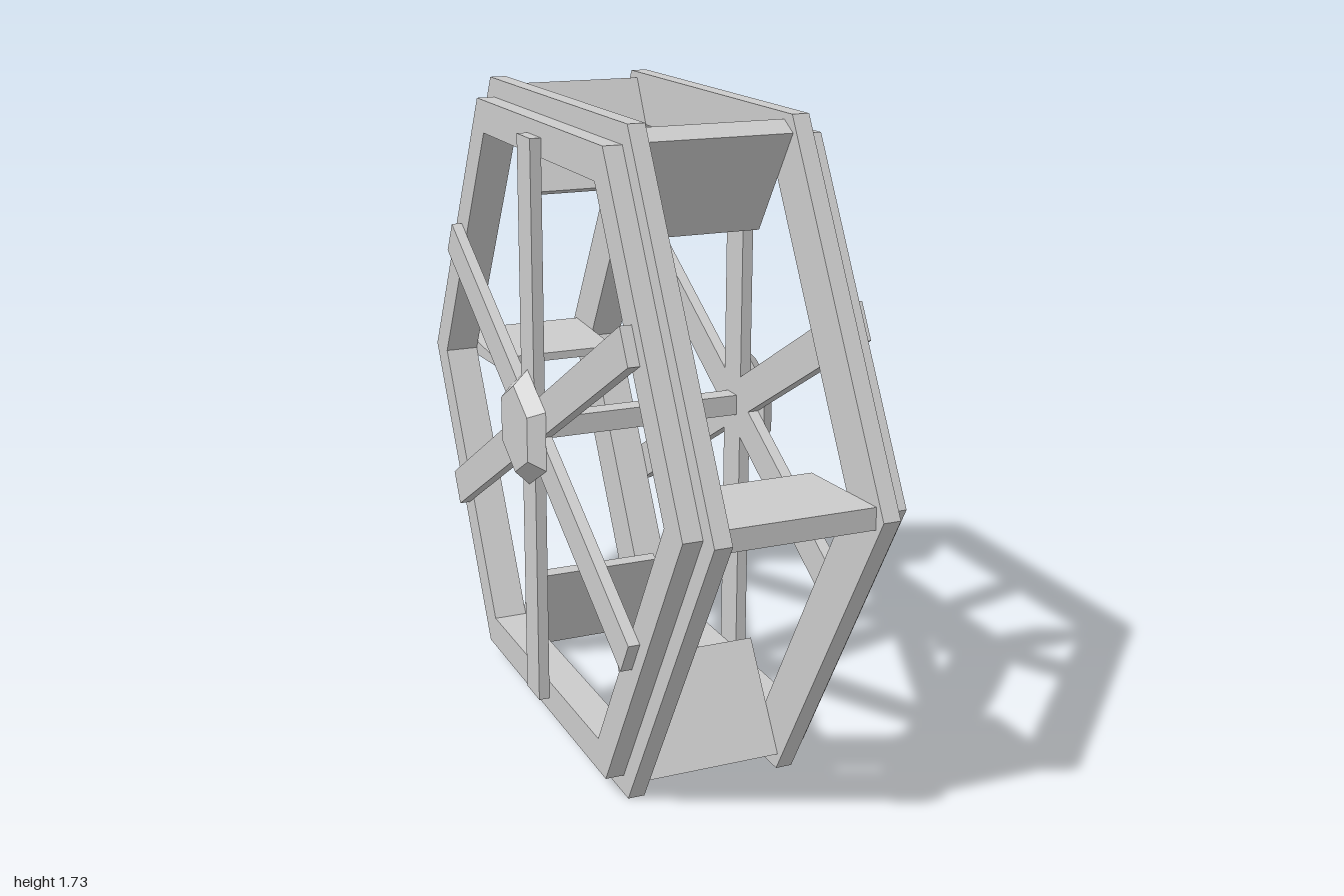
import * as THREE from 'three';

const material = new THREE.MeshStandardMaterial({ color: 0xcccccc, flatShading: true });
const AXLE_Y = Math.sqrt(3) / 2;

function add(parent, name, geometry) {
  const mesh = new THREE.Mesh(geometry, material);
  mesh.name = name;
  parent.add(mesh);
  return mesh;
}

// Corners of a hexagon with points at +x and -x
function hexagon(radius) {
  return Array.from({ length: 6 }, (_, i) =>
    new THREE.Vector2(radius * Math.cos(i * Math.PI / 3), radius * Math.sin(i * Math.PI / 3)));
}

// Hexagonal frame in the yz plane, between x = x0 and x = x1
function hexRing(outer, inner, x0, x1) {
  const shape = new THREE.Shape(hexagon(outer));
  shape.holes.push(new THREE.Path(hexagon(inner)));
  return new THREE.ExtrudeGeometry(shape, { depth: x1 - x0, bevelEnabled: false })
    .rotateY(Math.PI / 2).translate(x0, 0, 0);
}

// One side of the wheel, on the +x side
function wheelSide(name) {
  const side = new THREE.Group();
  side.name = name;
  add(side, 'outerRim', hexRing(1, 0.836, 0.19, 0.235));
  add(side, 'innerRim', hexRing(0.94, 0.836, 0.235, 0.285));

  // Three bars crossing at the hub make six spokes
  for (let i = 0; i < 3; i++) {
    const bar = add(side, 'spokeBar', new THREE.BoxGeometry(0.03, 1.55, 0.1));
    bar.position.x = 0.3;
    bar.rotation.x = i * Math.PI / 3;
  }

  // Bevelled hub cap with its points up and down
  const hub = add(side, 'hubCap',
    new THREE.CylinderGeometry(0.12, 0.16, 0.04, 6, 1, false, Math.PI / 2));
  hub.rotation.z = -Math.PI / 2;
  hub.position.x = 0.335;
  return side;
}

export function createModel() {
  const model = new THREE.Group();
  model.name = 'waterWheel';
  const wheel = new THREE.Group();
  wheel.name = 'wheel';
  wheel.position.y = AXLE_Y;
  model.add(wheel);

  // The two sides, the second turned half round
  wheel.add(wheelSide('leftSide'));
  const right = wheelSide('rightSide');
  right.rotation.y = Math.PI;
  wheel.add(right);

  // Axle between the hubs
  add(wheel, 'axle', new THREE.BoxGeometry(0.63, 0.056, 0.056));

  // Paddles at the six corners, thinner toward the axle
  const profile = new THREE.Shape([
    new THREE.Vector2(0.65, -0.012), new THREE.Vector2(0.965, -0.028),
    new THREE.Vector2(0.965, 0.028), new THREE.Vector2(0.65, 0.012),
  ]);
  const paddle = new THREE.ExtrudeGeometry(profile, { depth: 0.38, bevelEnabled: false })
    .translate(0, 0, -0.19).rotateY(Math.PI / 2);
  for (let i = 0; i < 6; i++) {
    add(wheel, 'paddle', paddle).rotation.x = i * Math.PI / 3;
  }
  return model;
}
